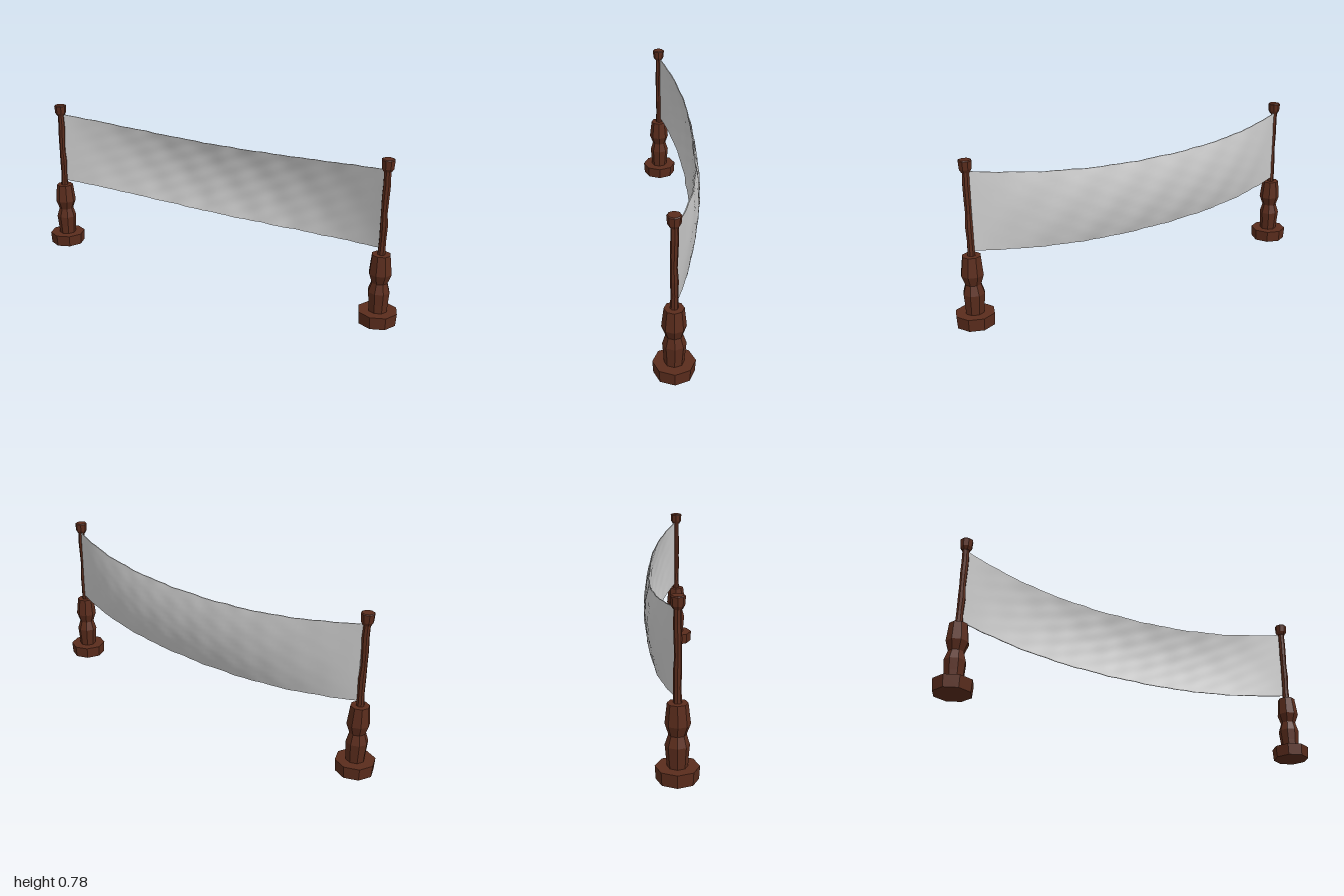
import * as THREE from 'three';

const wood = new THREE.MeshStandardMaterial({ color: 0x5a2c1c, flatShading: true });
const cloth = new THREE.MeshStandardMaterial({ color: 0xcccccc, side: THREE.DoubleSide });

// Eight-sided turned part from [radius, height] pairs
function turned(name, profile, wobble = 0) {
  const geo = new THREE.LatheGeometry(profile.map(([r, y]) => new THREE.Vector2(r, y)), 8);
  const p = geo.attributes.position;
  // Hand-carved irregularity: each level drifts a little sideways
  for (let i = 0; i < p.count; i++) {
    const y = p.getY(i);
    p.setX(i, p.getX(i) + wobble * Math.sin(y * 31));
    p.setZ(i, p.getZ(i) + wobble * Math.cos(y * 23));
  }
  geo.computeVertexNormals();
  const mesh = new THREE.Mesh(geo, wood);
  mesh.name = name;
  return mesh;
}

function makePost(name) {
  const post = new THREE.Group();
  post.name = name;
  post.add(
    turned('base', [[0, 0], [0.088, 0.002], [0.092, 0.06], [0, 0.06]]),
    turned('baluster', [[0, 0.058], [0.043, 0.06], [0.046, 0.1], [0.051, 0.155], [0.037, 0.2],
      [0.053, 0.245], [0.043, 0.335], [0, 0.336]], 0.001),
    turned('pole', [[0.018, 0.33], [0.016, 0.4], [0.018, 0.47], [0.015, 0.53], [0.017, 0.6],
      [0.017, 0.66], [0.016, 0.725]], 0.0015),
    turned('finial', [[0, 0.719], [0.019, 0.72], [0.028, 0.735], [0.031, 0.772], [0.027, 0.776], [0, 0.776]])
  );
  return post;
}

// Thin sheet sagging between the posts and billowing towards the back
function makeBanner() {
  const geo = new THREE.BoxGeometry(2, 1, 0.005, 72, 18, 1);
  const p = geo.attributes.position;
  for (let i = 0; i < p.count; i++) {
    const u = p.getX(i), v = p.getY(i) + 0.5, t = p.getZ(i);
    const belly = 1 - Math.pow(Math.abs(u), 2.5);
    const sag = 1 - u * u;
    const bottom = 0.36 - 0.055 * sag, top = 0.725 - 0.065 * sag;
    // Depth is greatest at mid height, least along the lower edge
    const depth = 0.109 + 0.014 * v + 0.108 * v * (1 - v);
    const ripple = 0.0018 * belly * (Math.sin(u * 23 + v * 9) + Math.sin(u * 37 - v * 17) * Math.sin(v * 13 + u * 5));
    const edge = 0.002 * Math.sin(u * 41) * Math.sin(u * 17);
    p.setXYZ(i, u * 0.897, bottom + (top - bottom) * v + edge, 0.023 - depth * belly + ripple + t);
  }
  geo.computeVertexNormals();
  const mesh = new THREE.Mesh(geo, cloth);
  mesh.name = 'banner';
  return mesh;
}

export function createModel() {
  const model = new THREE.Group();
  model.name = 'bannerBetweenPosts';
  for (const [name, side] of [['leftPost', 1], ['rightPost', -1]]) {
    const post = makePost(name);
    post.position.set(side * 0.908, 0, 0.033);
    model.add(post);
  }
  model.add(makeBanner());
  return model;
}
